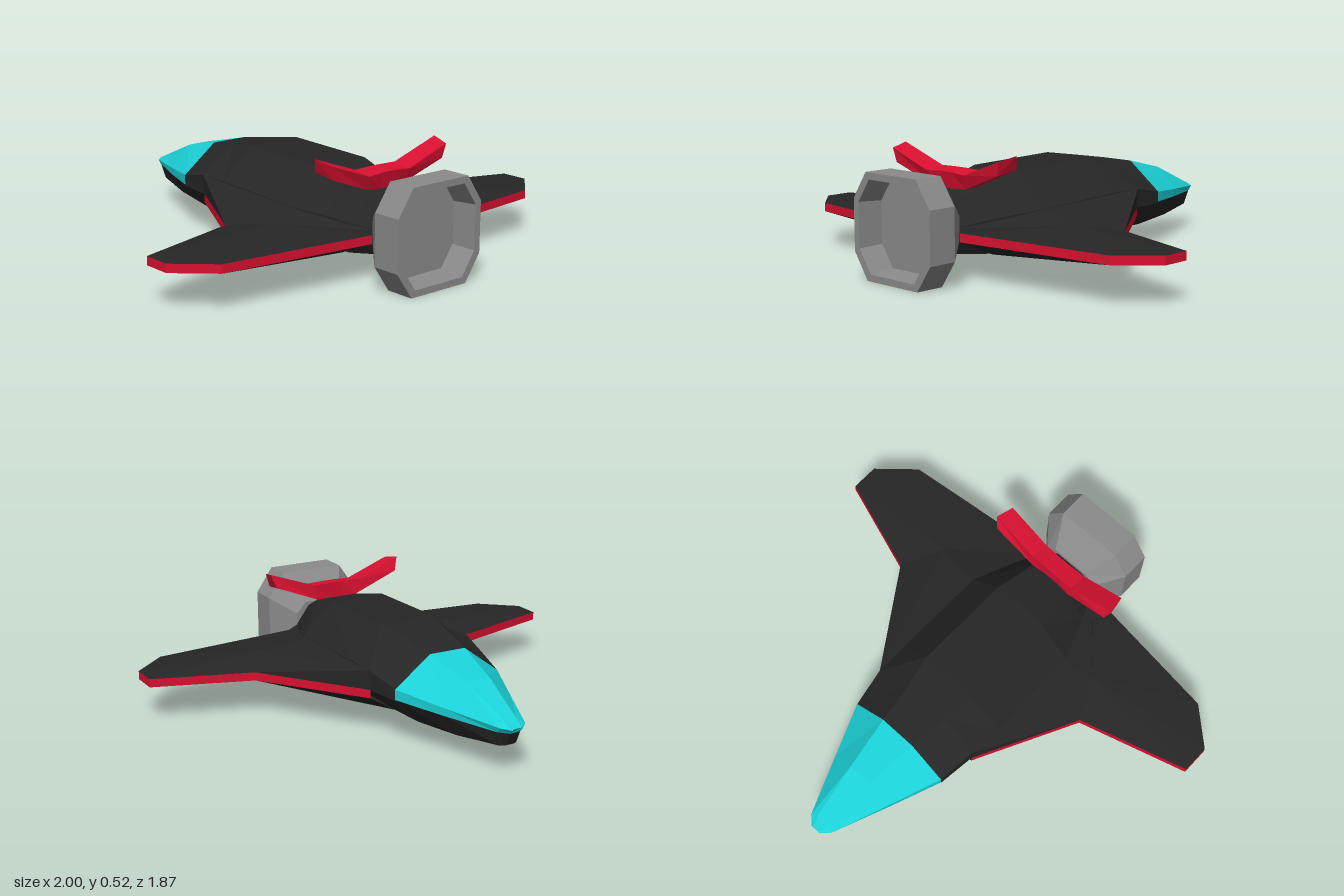
import * as THREE from 'three';

const CX = -0.016; // centre line of fuselage, engine and spoiler
const mat = (color) => new THREE.MeshStandardMaterial({ color, flatShading: true, side: THREE.DoubleSide });

// Mesh from a list of triangles, each three [x, y, z] corners
function triMesh(name, tris, material) {
  const geo = new THREE.BufferGeometry();
  geo.setAttribute('position', new THREE.Float32BufferAttribute(tris.flat(2), 3));
  geo.computeVertexNormals();
  const mesh = new THREE.Mesh(geo, material);
  mesh.name = name;
  return mesh;
}

// Skin over closed rings that run counterclockwise about the sweep direction, with flat end caps
function loft(rings) {
  const tris = [];
  const n = rings[0].length;
  for (let i = 0; i + 1 < rings.length; i++) {
    for (let j = 0; j < n; j++) {
      const k = (j + 1) % n;
      const [a, b, c, d] = [rings[i][j], rings[i][k], rings[i + 1][j], rings[i + 1][k]];
      tris.push([a, b, d], [a, d, c]);
    }
  }
  const first = rings[0], last = rings[rings.length - 1];
  for (let j = 1; j + 1 < n; j++) {
    tris.push([first[0], first[j + 1], first[j]], [last[0], last[j], last[j + 1]]);
  }
  return tris;
}

// Full ring from its right half, listed bottom to top
const mirrorRing = (half) => [
  ...half.map(([x, y, z]) => [CX + x, y, z]),
  ...half.slice().reverse().map(([x, y, z]) => [CX - x, y, z]),
];

// Wing on side s: upper skin, lower skin and a coloured edge band
function buildWing(s, dark, red) {
  const wing = new THREE.Group();
  wing.name = s > 0 ? 'leftWing' : 'rightWing';
  const rootX = (x) => CX + s * x;
  // Outline from leading root round the tip to trailing root
  const outline = [
    [rootX(0.27), -0.25], [s * 0.5425 + 0.0275, 0.2], [s, 0.345],
    [s, 0.47], [s * 0.845, 0.61], [rootX(0.14), 0.69],
  ];
  const top = outline.map(([x, z]) => [x, 0.2, z]);
  const low = outline.map(([x, z]) => [x, 0.163, z]);
  const rootFront = [rootX(0.275), 0.287, -0.25];
  const rootBack = [rootX(0.27), 0.27, 0.34];
  const rootEnd = [rootX(0.135), 0.22, 0.69];
  const ridge = [s * 0.45 + 0.02, 0.232, 0.38];
  const keelFront = [rootX(0.15), 0.09, -0.25];
  const keelBack = [rootX(0.15), 0.09, 0.52];
  const orient = (tris) => (s > 0 ? tris : tris.map(([a, b, c]) => [a, c, b]));

  const upper = [
    [top[0], rootFront, top[1]], [rootFront, ridge, top[1]], [rootFront, rootBack, ridge],
    [rootBack, rootEnd, ridge], [rootEnd, top[5], ridge],
  ];
  for (let i = 1; i < 5; i++) upper.push([ridge, top[i + 1], top[i]]);
  const lower = [[low[0], low[1], keelFront], [low[1], keelBack, keelFront]];
  for (let i = 1; i < 5; i++) lower.push([low[i], low[i + 1], keelBack]);
  const edge = [];
  for (let i = 0; i < 5; i++) {
    edge.push([low[i], top[i], top[i + 1]], [low[i], top[i + 1], low[i + 1]]);
  }
  wing.add(
    triMesh('wingTop', orient(upper), dark),
    triMesh('wingUnderside', orient(lower), dark),
    triMesh('wingEdge', orient(edge), red),
  );
  return wing;
}

export function createModel() {
  const model = new THREE.Group();
  model.name = 'starfighter';
  const dark = mat(0x262626), red = mat(0xd8102f), cyan = mat(0x1bd2d8), grey = mat(0x8a8a8a);

  // Fuselage: z, keel half-width and height, chine half-width, shoulder half-width and height, roof half-width and height
  const stations = [
    [-0.42, 0.14, 0.09, 0.25, 0.25, 0.25, 0.085, 0.375],
    [-0.25, 0.15, 0.09, 0.27, 0.275, 0.287, 0.105, 0.402],
    [-0.1, 0.15, 0.09, 0.275, 0.275, 0.287, 0.13, 0.425],
    [0.35, 0.15, 0.09, 0.275, 0.275, 0.27, 0.13, 0.415],
    [0.55, 0.13, 0.093, 0.2, 0.2, 0.25, 0.1, 0.37],
    [0.69, 0.09, 0.11, 0.14, 0.135, 0.225, 0.075, 0.305],
  ];
  const bodyRings = stations.map(([z, kw, ky, cw, sw, sy, rw, ry]) =>
    mirrorRing([[kw, ky, z], [cw, 0.2, z], [sw, sy, z], [rw, ry, z]]));
  model.add(triMesh('fuselage', loft(bodyRings), dark));

  // Lower nose under the canopy
  const noseRings = [
    [[0.02, 0.12, -0.885], [0.022, 0.178, -0.915]],
    [[0.045, 0.118, -0.865], [0.058, 0.18, -0.88]],
    [[0.1, 0.1, -0.65], [0.158, 0.192, -0.65]],
    [[0.14, 0.09, -0.42], [0.25, 0.205, -0.42]],
  ].map(mirrorRing);
  model.add(triMesh('lowerNose', loft(noseRings), dark));

  // Canopy: side band, slanted flank and flat roof
  const canopyRings = [
    [[0.022, 0.178, -0.915], [0.023, 0.197, -0.935], [0.02, 0.203, -0.935]],
    [[0.058, 0.18, -0.88], [0.06, 0.203, -0.9], [0.03, 0.222, -0.885]],
    [[0.158, 0.192, -0.65], [0.16, 0.226, -0.65], [0.055, 0.32, -0.65]],
    [[0.25, 0.205, -0.42], [0.25, 0.25, -0.42], [0.085, 0.375, -0.42]],
  ].map(mirrorRing);
  model.add(triMesh('canopy', loft(canopyRings), cyan));

  for (const s of [1, -1]) model.add(buildWing(s, dark, red));

  // Engine: chamfered square bell with a hollow outlet (half-width scale, half-height scale, z)
  const engineRings = [
    [0.6, 0.45, 0.69], [1, 1, 0.8], [1, 1, 0.93], [0.87, 0.87, 0.93], [0.82, 0.82, 0.82],
  ].map(([sx, sy, z]) => mirrorRing(
    [[0.15, -0.2225], [0.2275, -0.11], [0.2275, 0.11], [0.15, 0.2225]]
      .map(([x, y]) => [x * sx, 0.2225 + y * sy, z])));
  model.add(triMesh('engine', loft(engineRings), grey));

  // Spoiler: swept along x, each section listed rear bottom, front bottom, front top, rear top
  const arm = [
    [[0.03, 0.36, 0.62], [0.03, 0.36, 0.555], [0.03, 0.44, 0.553], [0.03, 0.43, 0.635]],
    [[0.1, 0.365, 0.62], [0.1, 0.37, 0.548], [0.11, 0.438, 0.553], [0.11, 0.425, 0.64]],
    [[0.3, 0.44, 0.638], [0.31, 0.457, 0.54], [0.331, 0.517, 0.56], [0.315, 0.5, 0.645]],
  ];
  const side = (s) => arm.map((ring) => ring.map(([x, y, z]) => [CX + s * x, y, z]));
  const spoilerRings = [...side(-1).reverse(), ...side(1)];
  model.add(triMesh('spoiler', loft(spoilerRings), red));

  return model;
}
